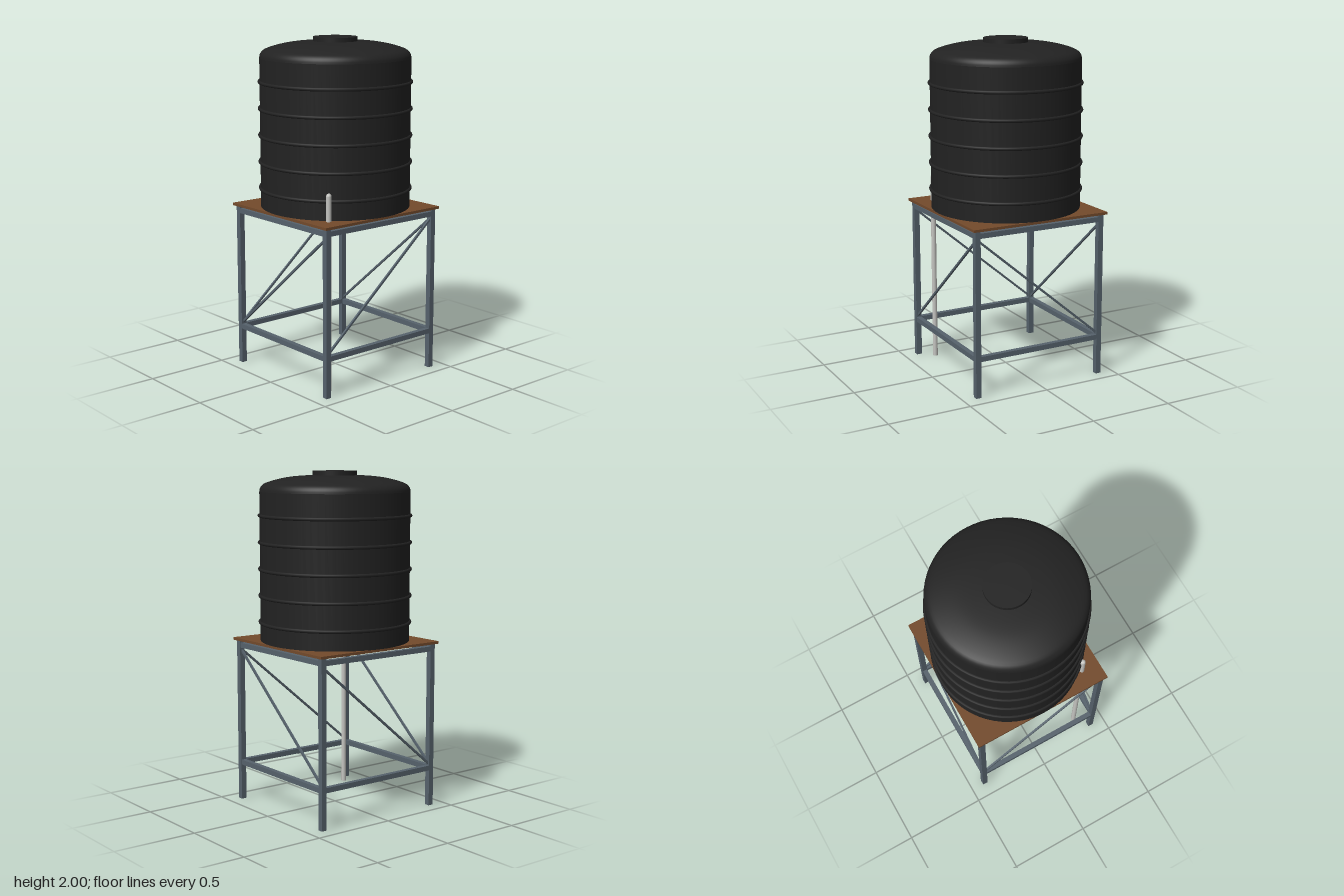
import * as THREE from 'three';

const mat = (name, color) => {
  const m = new THREE.MeshStandardMaterial({ color });
  m.name = name;
  return m;
};

export function createModel() {
  const tankBlack = mat('tankBlack', 0x222222);
  const wood = mat('wood', 0x734a2b);
  const steel = mat('steel', 0x56626c);
  const pipeGrey = mat('pipeGrey', 0xc4c4c0);

  const model = new THREE.Group();
  model.name = 'waterTower';

  const add = (name, geometry, material, x = 0, y = 0, z = 0, parent = model) => {
    const mesh = new THREE.Mesh(geometry, material);
    mesh.name = name;
    mesh.position.set(x, y, z);
    parent.add(mesh);
    return mesh;
  };

  // Steel stand: four legs, then the same beams and brace on each side
  const stand = new THREE.Group();
  stand.name = 'stand';
  model.add(stand);
  const L = 0.405;
  for (const x of [-L, L]) for (const z of [-L, L])
    add('leg', new THREE.BoxGeometry(0.033, 0.988, 0.033), steel, x, 0.494, z, stand);

  const bar = (name, a, b, size) => {
    const mesh = add(name, new THREE.BoxGeometry(size, size, a.distanceTo(b)), steel, 0, 0, 0, stand);
    mesh.position.lerpVectors(a, b, 0.5);
    mesh.lookAt(b);
  };
  const V = (x, y, z) => new THREE.Vector3(x, y, z);
  for (const s of [-L, L]) {
    for (const y of [0.232, 0.958]) {
      bar('crossBeam', V(-L, y, s), V(L, y, s), 0.03);
      bar('sideBeam', V(s, y, L), V(s, y, -L), 0.03);
    }
    bar('crossBrace', V(-L, 0.25, s), V(L, 0.935, s), 0.012);
    bar('sideBrace', V(s, 0.25, L), V(s, 0.935, -L), 0.012);
  }

  // Wooden deck
  add('platform', new THREE.BoxGeometry(0.875, 0.015, 0.875), wood, 0, 0.9945, 0);

  // Tank: straight wall, then a rounded shoulder and shallow dome
  const wall = [[0, 1.002], [0.443, 1.002], [0.443, 1.88]].map(p => new THREE.Vector2(...p));
  const dome = new THREE.SplineCurve([
    [0.443, 1.88], [0.436, 1.905], [0.405, 1.93], [0.31, 1.957], [0.2, 1.971], [0, 1.98],
  ].map(p => new THREE.Vector2(...p))).getPoints(20);
  add('tankWall', new THREE.LatheGeometry(wall.slice(1), 64), tankBlack);
  add('tankBottom', new THREE.CircleGeometry(0.443, 64).rotateX(Math.PI / 2), tankBlack, 0, 1.003, 0);
  add('tankDome', new THREE.LatheGeometry(dome, 64), tankBlack);
  add('lid', new THREE.CylinderGeometry(0.13, 0.13, 0.04, 48), tankBlack, 0, 1.98, 0);
  for (let i = 0; i < 5; i++)
    add('rib', new THREE.TorusGeometry(0.445, 0.01, 8, 64).rotateX(Math.PI / 2),
      tankBlack, 0, 1.113 + i * 0.157, 0);

  // Outlet pipe rising past the deck and turning into the tank
  const P = 0.325;
  add('pipe', new THREE.CylinderGeometry(0.015, 0.015, 1.145, 16), pipeGrey, P, 0.5725, P);
  add('pipeElbow', new THREE.SphereGeometry(0.015, 16, 12), pipeGrey, P, 1.145, P);
  const stub = add('pipeInlet', new THREE.CylinderGeometry(0.015, 0.015, 0.04, 16).rotateX(Math.PI / 2),
    pipeGrey, P - 0.014, 1.145, P - 0.014);
  stub.rotation.y = Math.PI / 4;

  return model;
}
